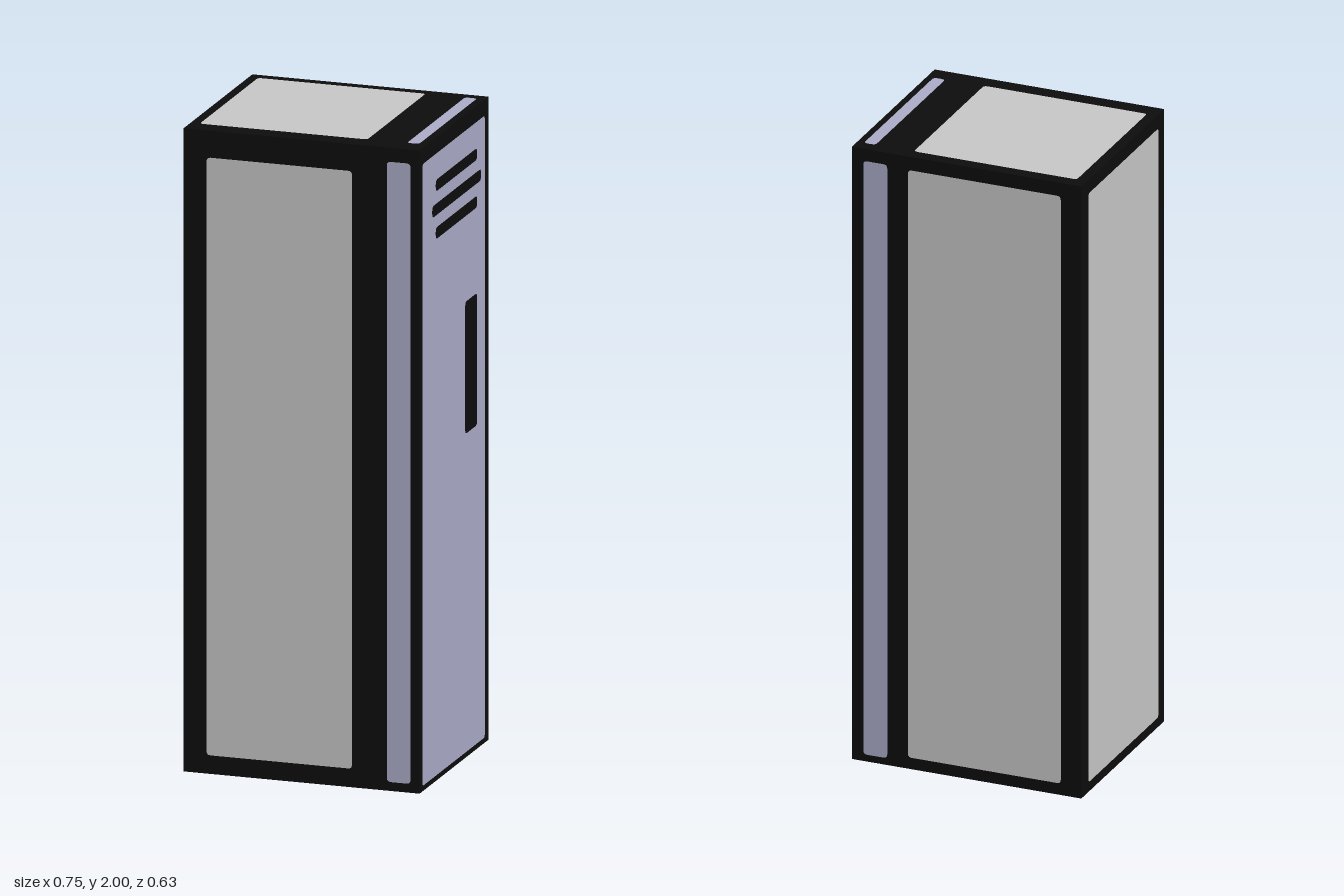
import * as THREE from 'three';

const W = 0.375, D = 0.315, H = 2, LIFT = 0.002;

const mat = (name, color) => {
  const m = new THREE.MeshStandardMaterial({ color });
  m.name = name;
  return m;
};

// Flat rectangle with small rounded corners
function roundedRect(a0, a1, b0, b1, r) {
  const s = new THREE.Shape();
  s.moveTo(a0 + r, b0);
  s.lineTo(a1 - r, b0);
  s.quadraticCurveTo(a1, b0, a1, b0 + r);
  s.lineTo(a1, b1 - r);
  s.quadraticCurveTo(a1, b1, a1 - r, b1);
  s.lineTo(a0 + r, b1);
  s.quadraticCurveTo(a0, b1, a0, b1 - r);
  s.lineTo(a0, b0 + r);
  s.quadraticCurveTo(a0, b0, a0 + r, b0);
  return new THREE.ShapeGeometry(s, 3);
}

export function createModel() {
  const locker = new THREE.Group();
  locker.name = 'locker';
  const black = mat('black trim', 0x0d0d0d);
  const grey = mat('grey panel', 0xc9c9c9);
  const lilac = mat('lilac door', 0xaeaecc);

  // Cabinet body
  const body = new THREE.Mesh(
    new THREE.BoxGeometry(2 * (W - LIFT), H - 2 * LIFT, 2 * (D - LIFT)), black);
  body.name = 'cabinetBody';
  body.position.y = H / 2;
  locker.add(body);

  // One group per side; local x and y run across that side
  const side = (name, rx, ry, x, y, z) => {
    const g = new THREE.Group();
    g.name = name;
    g.rotation.set(rx, ry, 0);
    g.position.set(x, y, z);
    locker.add(g);
    return g;
  };
  const q = Math.PI / 2;
  const front = side('frontSide', 0, 0, 0, 0, D);
  const back = side('backSide', 0, Math.PI, 0, 0, -D);
  const doorSide = side('doorSide', 0, q, W, 0, 0);
  const rear = side('rearSide', 0, -q, -W, 0, 0);
  const top = side('topSide', -q, 0, 0, H, 0);
  const base = side('baseSide', q, 0, 0, 0, 0);

  const plate = (parent, name, material, a0, a1, b0, b1, z = 0, r = 0.012) => {
    const m = new THREE.Mesh(roundedRect(a0, a1, b0, b1, r), material);
    m.name = name;
    m.position.z = z;
    parent.add(m);
  };

  // Cabinet panels and door edges
  plate(front, 'frontPanel', grey, -0.3, 0.16, 0.06, 1.915);
  plate(front, 'doorEdgeFront', lilac, 0.27, 0.345, 0.03, 1.955);
  plate(back, 'backPanel', grey, -0.19, 0.307, 0.04, 1.955);
  plate(back, 'doorEdgeBack', lilac, -0.335, -0.257, 0.025, 1.96);
  plate(rear, 'rearPanel', grey, -0.265, 0.265, 0.035, 1.955);
  plate(top, 'topPanel', grey, -0.342, 0.188, -0.256, 0.275);
  plate(top, 'doorEdgeTop', lilac, 0.312, 0.35, -0.252, 0.276);

  // Door with vents and handle
  plate(doorSide, 'door', lilac, -0.293, 0.275, 0.02, 1.95);
  for (const [y, a0, a1] of [[1.852, -0.178, 0.2], [1.778, -0.21, 0.235], [1.704, -0.178, 0.2]])
    plate(doorSide, 'vent', black, a0, a1, y - 0.018, y + 0.018, LIFT, 0.015);
  plate(doorSide, 'handle', black, 0.09, 0.2, 1.01, 1.42, LIFT, 0.015);

  // Worn patches and door edge on the base
  plate(base, 'doorEdgeBase', lilac, 0.295, 0.335, -0.255, 0.235);
  for (const [a0, a1, b0, b1] of [
    [0.12, 0.2, -0.24, -0.16], [-0.32, -0.23, -0.26, -0.14],
    [0.07, 0.16, 0.14, 0.25], [-0.29, -0.2, 0.09, 0.2],
    [-0.23, 0.12, -0.24, -0.19], [0.05, 0.1, -0.19, 0.14], [-0.2, -0.15, -0.19, 0.09],
  ]) plate(base, 'basePatch', grey, a0, a1, b0, b1, 0, 0.02);

  return locker;
}
